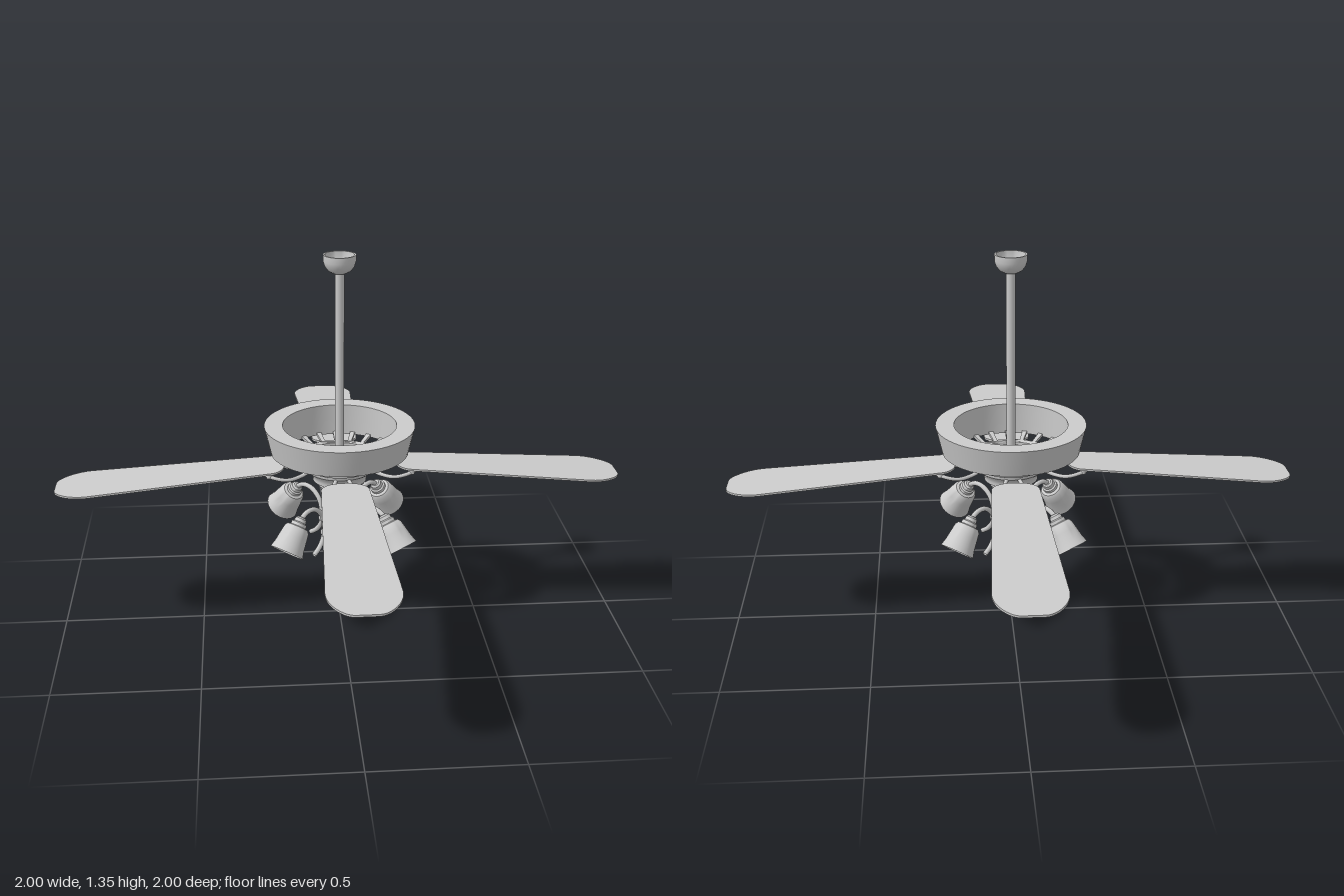
import * as THREE from 'three';
import { toCreasedNormals } from 'three/addons/utils/BufferGeometryUtils.js';

const material = new THREE.MeshStandardMaterial({ color: 0xcccccc, side: THREE.DoubleSide });

function addMesh(parent, name, geometry) {
  const mesh = new THREE.Mesh(geometry, material);
  mesh.name = name;
  parent.add(mesh);
  return mesh;
}

// Turned part from [radius, height] pairs
function turned(profile, segments = 48) {
  const points = profile.map(([r, y]) => new THREE.Vector2(r, y));
  return toCreasedNormals(new THREE.LatheGeometry(points, segments), 0.6);
}

// Round tube through [x, y, z] points
function bentTube(points, radius, segments = 28) {
  const curve = new THREE.CatmullRomCurve3(points.map((p) => new THREE.Vector3(...p)));
  return new THREE.TubeGeometry(curve, segments, radius, 10);
}

// Sloping ring pierced by a circle of vent windows
function ventRing() {
  const count = 20, step = (Math.PI * 2) / count;
  const shape = new THREE.Shape().absarc(0, 0, 0.243, 0, Math.PI * 2);
  shape.holes.push(new THREE.Path().absarc(0, 0, 0.14, 0, Math.PI * 2, true));
  for (let i = 0; i < count; i++) {
    const a = i * step + step * 0.14, b = (i + 1) * step - step * 0.14;
    const hole = new THREE.Path();
    hole.absarc(0, 0, 0.2, a, b, false);
    hole.absarc(0, 0, 0.155, b, a, true);
    hole.closePath();
    shape.holes.push(hole);
  }
  const geometry = new THREE.ExtrudeGeometry(shape, { depth: 0.01, bevelEnabled: false, curveSegments: 24 });
  geometry.rotateX(-Math.PI / 2);
  const p = geometry.attributes.position;
  for (let i = 0; i < p.count; i++) {
    const r = Math.hypot(p.getX(i), p.getZ(i));
    p.setY(i, p.getY(i) + 0.605 + (r - 0.14) * 0.37);
  }
  return toCreasedNormals(geometry, 0.5);
}

// Thin paddle that widens towards a rounded tip
function bladeGeometry() {
  const s = new THREE.Shape();
  s.moveTo(0.24, -0.082);
  s.lineTo(0.88, -0.116);
  s.bezierCurveTo(0.94, -0.118, 1, -0.07, 1, -0.035);
  s.lineTo(1, 0.035);
  s.bezierCurveTo(1, 0.07, 0.94, 0.118, 0.88, 0.116);
  s.lineTo(0.24, 0.082);
  s.bezierCurveTo(0.21, 0.075, 0.195, 0.045, 0.195, 0);
  s.bezierCurveTo(0.195, -0.045, 0.21, -0.075, 0.24, -0.082);
  const geometry = new THREE.ExtrudeGeometry(s, { depth: 0.007, bevelEnabled: false, curveSegments: 10 });
  geometry.rotateX(-Math.PI / 2);
  const p = geometry.attributes.position;
  for (let i = 0; i < p.count; i++) p.setY(i, p.getY(i) + 0.592 - (p.getX(i) - 0.2) * 0.078);
  return toCreasedNormals(geometry, 0.5);
}

function createBlade() {
  const group = new THREE.Group();
  group.name = 'bladeAssembly';
  addMesh(group, 'blade', bladeGeometry());
  // Bracket: two curved arms from the hub, joined by a plate under the blade
  for (const side of [-1, 1]) {
    addMesh(group, 'bladeArm', bentTube([
      [0.1, 0.578, 0.018 * side], [0.14, 0.562, 0.035 * side], [0.19, 0.56, 0.062 * side],
      [0.24, 0.57, 0.06 * side], [0.275, 0.575, 0.03 * side], [0.3, 0.575, 0],
    ], 0.007));
    const screw = addMesh(group, 'bladeScrew', new THREE.CylinderGeometry(0.01, 0.012, 0.022, 12));
    screw.position.set(0.25, 0.578, 0.052 * side);
  }
  const plate = addMesh(group, 'bladePlate', new THREE.CylinderGeometry(0.032, 0.032, 0.012, 24));
  plate.scale.x = 1.3;
  plate.position.set(0.275, 0.578, 0);
  plate.rotation.z = -0.078;
  return group;
}

function createLamp() {
  const group = new THREE.Group();
  group.name = 'lampAssembly';
  // C-shaped arm with a free lower curl
  addMesh(group, 'lampArm', bentTube([
    [0.14, 0.282, 0], [0.11, 0.303, 0], [0.087, 0.34, 0], [0.085, 0.385, 0],
    [0.1, 0.43, 0], [0.135, 0.459, 0], [0.175, 0.462, 0], [0.212, 0.442, 0],
  ], 0.009, 36));
  const mount = addMesh(group, 'lampArmMount', new THREE.CylinderGeometry(0.012, 0.012, 0.04, 12));
  mount.rotation.z = Math.PI / 2;
  mount.position.set(0.072, 0.355, 0);
  // Socket and open shade, aimed outwards and down
  const head = new THREE.Group();
  head.name = 'lampHead';
  head.position.set(0.205, 0.447, 0);
  head.rotation.z = 0.65;
  addMesh(head, 'lampSocket', turned([
    [0, 0.008], [0.014, 0.006], [0.02, 0], [0.022, -0.012], [0.028, -0.016], [0.028, -0.03], [0, -0.03],
  ], 24));
  addMesh(head, 'lampShade', turned([
    [0.024, -0.026], [0.038, -0.03], [0.045, -0.04], [0.049, -0.065], [0.054, -0.1],
    [0.061, -0.127], [0.058, -0.127], [0.05, -0.1], [0.042, -0.042], [0, -0.034],
  ], 32));
  group.add(head);
  return group;
}

export function createModel() {
  const model = new THREE.Group();
  model.name = 'ceilingFan';

  // Ceiling cup and down rod
  addMesh(model, 'canopy', turned([
    [0.05, 1.347], [0.056, 1.347], [0.056, 1.325], [0.051, 1.308], [0.04, 1.293], [0.025, 1.284],
    [0, 1.282], [0.025, 1.289], [0.038, 1.3], [0.047, 1.315], [0.05, 1.347],
  ], 32));
  const rod = addMesh(model, 'downRod', new THREE.CylinderGeometry(0.016, 0.016, 0.75, 20));
  rod.position.y = 0.915;

  // Open motor housing with a thick rim
  addMesh(model, 'housing', turned([
    [0.2, 0.636], [0.2, 0.74], [0.265, 0.74], [0.243, 0.645], [0.235, 0.64], [0.2, 0.636],
  ], 64));
  addMesh(model, 'ventRing', ventRing());

  // Hub bowl below the vents, with the rod collar inside
  addMesh(model, 'hub', turned([
    [0.148, 0.616], [0.15, 0.61], [0.135, 0.6], [0.122, 0.598], [0.118, 0.575], [0.1, 0.56],
    [0.095, 0.545], [0.095, 0.535], [0.078, 0.528], [0, 0.528],
  ]));
  addMesh(model, 'rodCollar', turned([
    [0.06, 0.528], [0.06, 0.56], [0.032, 0.565], [0.03, 0.59], [0.016, 0.592],
  ], 32));
  addMesh(model, 'hubRim', new THREE.TorusGeometry(0.12, 0.007, 8, 48)).rotation.x = Math.PI / 2;
  model.children.at(-1).position.y = 0.592;

  // Tapered neck and banded light base
  addMesh(model, 'neck', turned([
    [0, 0.53], [0.076, 0.53], [0.076, 0.515], [0.07, 0.51], [0.045, 0.405], [0.04, 0.395], [0, 0.395],
  ]));
  addMesh(model, 'lightBase', turned([
    [0, 0.402], [0.045, 0.402], [0.06, 0.392], [0.065, 0.388], [0.065, 0.376], [0.061, 0.373],
    [0.061, 0.342], [0.066, 0.339], [0.066, 0.326], [0.06, 0.32], [0.02, 0.317], [0.014, 0.308], [0, 0.306],
  ]));

  // Pull chain with two beads
  const chain = addMesh(model, 'pullChain', new THREE.CylinderGeometry(0.002, 0.002, 0.31, 8));
  chain.position.y = 0.16;
  for (const y of [0.01, 0.162]) {
    const bead = addMesh(model, 'chainBead', new THREE.SphereGeometry(0.005, 12, 8));
    bead.scale.y = 2;
    bead.position.y = y;
  }

  // Four blades on the axes, four lamps on the diagonals
  for (let i = 0; i < 4; i++) {
    const blade = createBlade();
    blade.rotation.y = (i * Math.PI) / 2 + 0.006;
    const lamp = createLamp();
    lamp.rotation.y = (i + 0.5) * (Math.PI / 2);
    model.add(blade, lamp);
  }
  return model;
}
